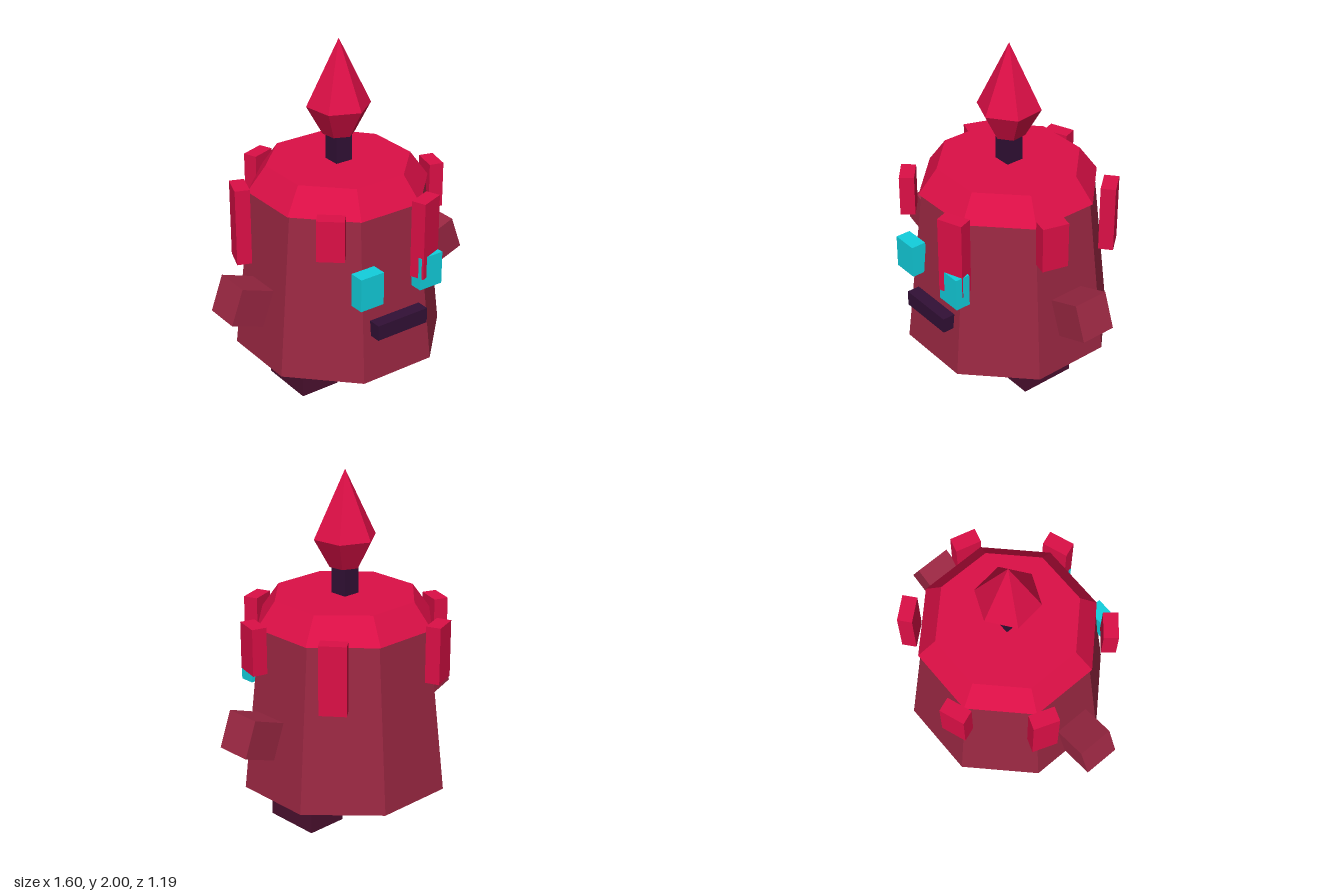
import * as THREE from 'three';

function material(name, color) {
  const m = new THREE.MeshStandardMaterial({ color, flatShading: true });
  m.name = name;
  return m;
}

export function createModel() {
  const group = new THREE.Group();
  const wax = material('darkWax', 0x9a2742);
  const melt = material('crimsonMelt', 0xdc0f46);
  const plum = material('plum', 0x4c102f);
  const dark = material('darkViolet', 0x321036);
  const cyan = material('cyan', 0x12cfdd);

  function add(name, geometry, mat, x, y, z) {
    const mesh = new THREE.Mesh(geometry, mat);
    mesh.name = name;
    mesh.position.set(x, y, z);
    group.add(mesh);
    return mesh;
  }
  const box = (name, w, h, d, mat, x, y, z) => add(name, new THREE.BoxGeometry(w, h, d), mat, x, y, z);

  // Tapered prism between two heights, first corner turned by the given angle
  function taper(name, rTop, rBottom, y0, y1, sides, turn, mat) {
    const g = new THREE.CylinderGeometry(rTop, rBottom, y1 - y0, sides, 1, false, turn);
    return add(name, g, mat, 0, (y0 + y1) / 2, 0);
  }

  // Candle body and melted cap, flat sides facing the axes
  taper('body', 0.498, 0.604, 0.215, 1.17, 8, Math.PI / 8, wax);
  taper('cap', 0.41, 0.515, 1.157, 1.303, 8, Math.PI / 8, melt);

  // Wick and flame
  box('wick', 0.105, 0.18, 0.105, dark, 0, 1.38, 0);
  taper('flameBase', 0.18, 0.09, 1.46, 1.624, 6, 0.12, melt);
  taper('flameTip', 0, 0.18, 1.624, 2, 6, 0.12, melt);

  // Paired parts
  for (const side of [-1, 1]) {
    const label = side > 0 ? 'left' : 'right';
    box(label + 'Leg', 0.24, 0.23, 0.333, plum, side * 0.272, 0.115, 0.03);
    box(label + 'Eye', 0.15, 0.192, 0.088, cyan, side * 0.2, 0.79, 0.538);
    const arm = box(label + 'Arm', 0.21, 0.212, 0.21, wax, side * 0.667, 0.639, 0.029);
    arm.rotation.z = side * 0.35;
  }

  // Mouth
  box('mouth', 0.336, 0.09, 0.09, dark, 0, 0.531, 0.551);

  // Wax drips around the rim: angle in degrees, height of the lower end
  const drips = [[20, 0.76], [75, 0.945], [130, 0.82], [200, 0.886], [250, 0.763], [320, 0.976]];
  drips.forEach(([deg, low], i) => {
    const a = THREE.MathUtils.degToRad(deg);
    const top = 1.212;
    const drip = box('drip' + (i + 1), 0.15, top - low, 0.084, melt,
      0.562 * Math.sin(a), (top + low) / 2, 0.562 * Math.cos(a));
    drip.rotation.y = a;
  });

  return group;
}
